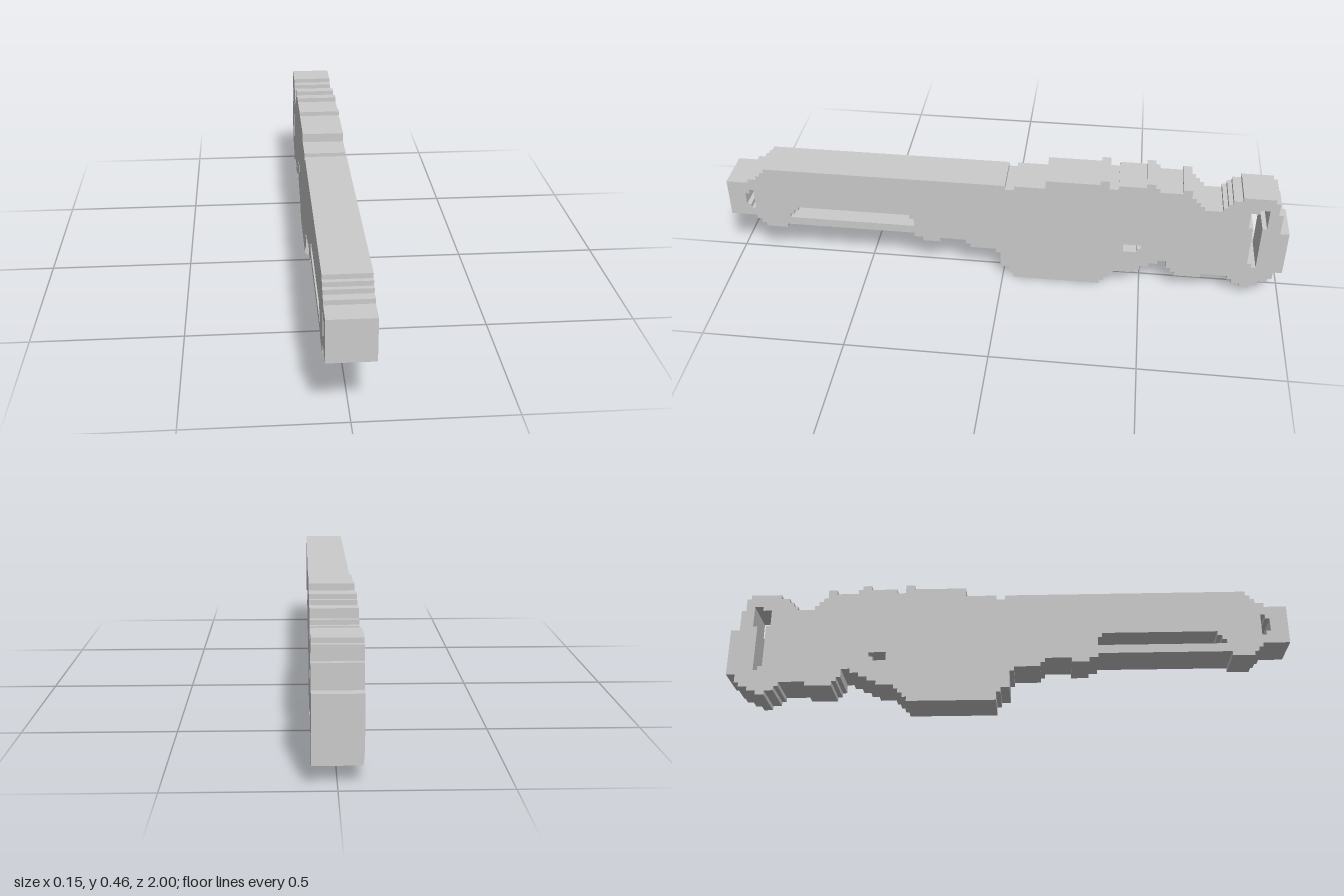
import * as THREE from 'three';

const UNIT = 2 / 127; // one grid step of the stepped silhouette
const WIDTH = 0.149;

// Stepped line: from column u, each [y, end] runs at height y to column end.
function stairs(u, runs) {
  const points = [];
  for (const [y, end] of runs) {
    points.push(new THREE.Vector2(u * UNIT, y * UNIT), new THREE.Vector2(end * UNIT, y * UNIT));
    u = end;
  }
  return points;
}

// Closed stepped loop, clockwise: upper edge from nose to tail, lower edge back again.
const loop = (start, upper, end, lower) => [...stairs(start, upper), ...stairs(end, lower)];

export function createModel() {
  const group = new THREE.Group();
  group.name = 'steppedRifle';

  // Upper edge, nose to tail
  const upper = [
    [22, 5], [23, 7], [24, 8], [25, 9], [26, 64], [25, 66], [26, 73], // nose and barrel
    [28, 85], [29, 87], [27, 89], [28, 95], [29, 97], [28, 98], [27, 103], [28, 105], // receiver
    [26, 106], [25, 107], [24, 108], [23, 112], // neck
    [24, 113], [25, 114], [26, 116], [27, 123], [26, 124], [23, 125], [18, 127], // stock
  ];
  // Lower edge, tail to nose
  const lower = [
    [7, 125], [5, 124], [4, 122], [3, 120], [2, 118], [3, 116], [4, 115], [5, 109], [4, 103], // stock
    [5, 102], [6, 101], [8, 99], [7, 97], [6, 95], [5, 93], [4, 89], // grip
    [3, 88], [2, 87], [1, 86], [0, 66], [2, 65], [3, 63], [7, 62], // magazine
    [8, 56], [9, 55], [10, 49], [9, 45], [10, 43], // foregrip
    [11, 13], [10, 8], [11, 7], [12, 6], [13, 0], // lower bar and nose
  ];
  // Outline runs counter-clockwise and the holes clockwise, so all walls face outward
  const shape = new THREE.Shape(loop(0, upper, 127, lower).reverse());

  const holes = [
    loop(4, [[19, 5], [20, 6]], 6, [[15, 5], [16, 4]]), // nose hole
    loop(14, [[14, 15], [15, 16], [16, 42], [15, 43]], 43, [[13, 14]]), // long slot
    loop(91, [[12, 95]], 95, [[11, 94], [10, 91]]), // trigger hole
    loop(118, [[23, 120], [24, 122]], 122, [[19, 121], [8, 120], [9, 119], [19, 118]]), // stock slot
  ];
  for (const points of holes) shape.holes.push(new THREE.Path(points));

  // Extrude sideways, with the nose at +z
  const geometry = new THREE.ExtrudeGeometry(shape, { depth: WIDTH, bevelEnabled: false });
  geometry.translate(-1, 0, -WIDTH / 2);
  geometry.rotateY(Math.PI / 2);

  const body = new THREE.Mesh(
    geometry,
    new THREE.MeshStandardMaterial({ color: 0xcccccc, flatShading: true })
  );
  body.name = 'body';
  group.add(body);
  return group;
}
